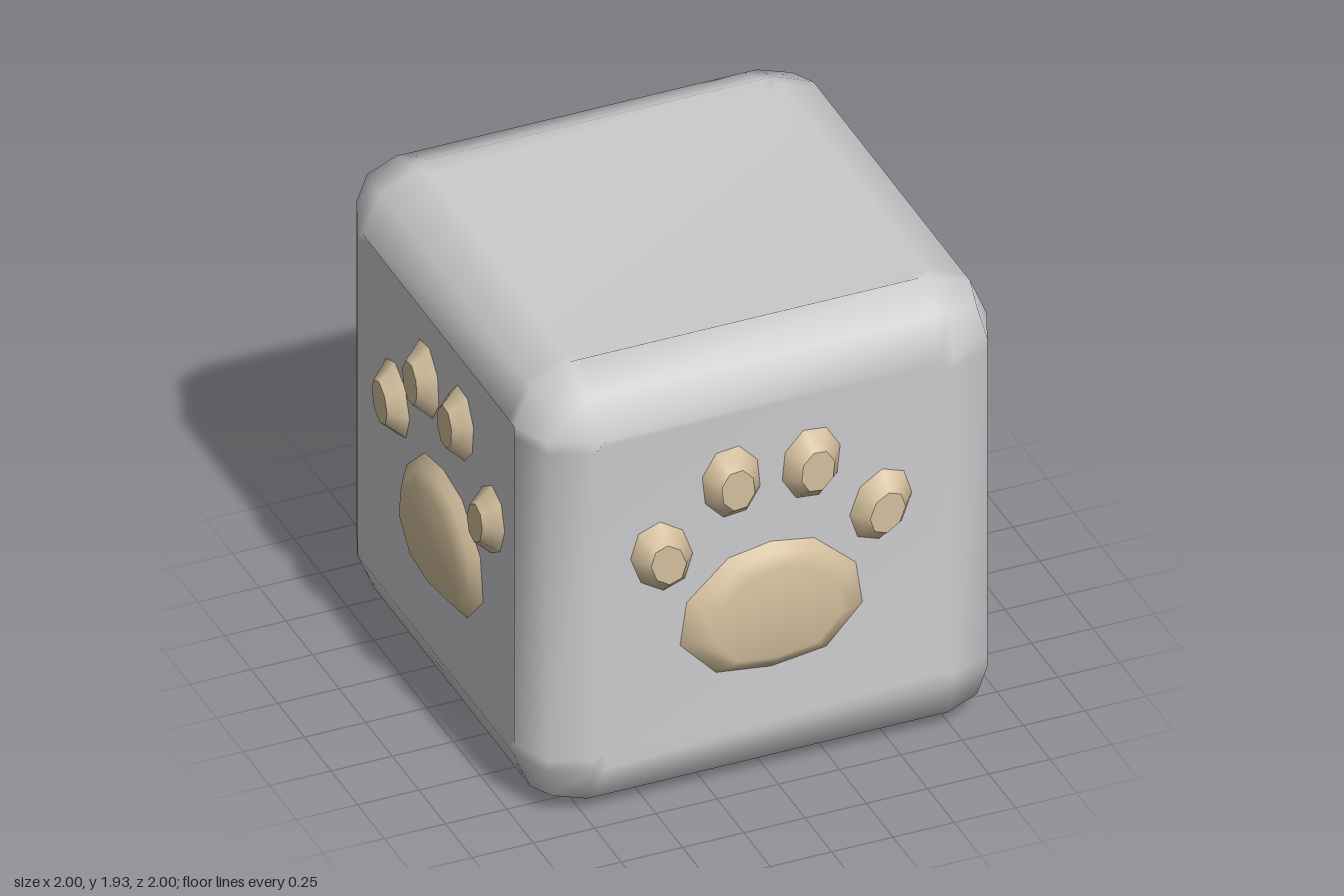
import * as THREE from 'three';
import { mergeVertices } from 'three/addons/utils/BufferGeometryUtils.js';

const HALF = 0.965, BEVEL = 0.23, FLOOR = 0.932;

// Rounded cube with a shallow sunken panel on every face
function blockGeometry() {
  let geo = new THREE.BoxGeometry(2, 2, 2, 5, 5, 5);
  geo.deleteAttribute('uv');
  geo.deleteAttribute('normal');
  geo = mergeVertices(geo, 1e-4);
  const pos = geo.attributes.position;
  for (let i = 0; i < pos.count; i++) {
    const c = [pos.getX(i), pos.getY(i), pos.getZ(i)];
    const dir = new THREE.Vector3(...c.map(v => (Math.abs(v) > 0.9 ? Math.sign(v) : 0))).normalize();
    const inPanel = c.filter(v => Math.abs(v) < 0.3).length === 2;
    const core = c.map(v => Math.sign(v) * (Math.abs(v) < 0.3 ? 0.685 : HALF - BEVEL));
    const p = new THREE.Vector3(...core).addScaledVector(dir, BEVEL - (inPanel ? HALF - FLOOR : 0));
    pos.setXYZ(i, p.x, p.y, p.z);
  }
  geo.computeVertexNormals();
  return geo;
}

// Raised pad: an outline lofted through shrinking rings to a flat top
function padGeometry(outline, rings, sharpTop) {
  const n = outline.length, verts = [], index = [];
  const addRing = ([z, s]) => outline.forEach(([x, y]) => verts.push(x * s, y * s, z));
  rings.forEach(addRing);
  for (let r = 0; r < rings.length - 1; r++) {
    for (let i = 0; i < n; i++) {
      const a = r * n + i, b = r * n + (i + 1) % n;
      index.push(a, b, b + n, a, b + n, a + n);
    }
  }
  const last = rings[rings.length - 1];
  let start = (rings.length - 1) * n;
  if (sharpTop) {
    start += n;
    addRing(last);
  }
  const centre = verts.length / 3;
  verts.push(0, 0, last[0]);
  for (let i = 0; i < n; i++) index.push(centre, start + i, start + (i + 1) % n);
  const geo = new THREE.BufferGeometry();
  geo.setAttribute('position', new THREE.Float32BufferAttribute(verts, 3));
  geo.setIndex(index);
  geo.computeVertexNormals();
  return geo;
}

export function createModel() {
  const grey = new THREE.MeshStandardMaterial({ color: 0xcbcacd });
  grey.name = 'light grey';
  const tan = new THREE.MeshStandardMaterial({ color: 0xd3bf9d });
  tan.name = 'tan';

  const model = new THREE.Group();
  model.name = 'pawBlock';
  const add = (parent, name, geo, mat) => {
    const mesh = new THREE.Mesh(geo, mat);
    mesh.name = name;
    parent.add(mesh);
    return mesh;
  };

  add(model, 'block', blockGeometry(), grey).position.y = HALF;

  // Main pad outline, right half mirrored, counter-clockwise from the bottom
  const right = [[0.225, -0.25], [0.372, -0.09], [0.345, 0.095], [0.175, 0.25]];
  const left = right.map(([x, y]) => [-x, y]).reverse();
  const mainGeo = padGeometry([[0, -0.28], ...right, [0, 0.28], ...left],
    [[0.92, 1.02], [FLOOR, 1], [HALF, 0.87], [1, 0.71]], false);

  // Toe: eight-sided oval
  const oval = Array.from({ length: 8 }, (_, i) => {
    const a = (i + 0.5) * Math.PI / 4;
    return [0.122 * Math.cos(a), 0.16 * Math.sin(a)];
  });
  const toeGeo = padGeometry(oval, [[0.92, 1.02], [FLOOR, 1], [HALF, 0.78], [1, 0.57]], true);

  // One paw on each of the four sides
  ['front', 'left', 'back', 'right'].forEach((side, k) => {
    const paw = new THREE.Group();
    paw.name = side + 'Paw';
    paw.rotation.y = k * Math.PI / 2;
    model.add(paw);
    add(paw, 'mainPad', mainGeo, tan).position.y = 0.77;
    for (const s of [-1, 1]) {
      const inner = add(paw, 'innerToe', toeGeo, tan);
      inner.position.set(s * 0.163, 1.36, 0);
      inner.rotation.z = -s * 0.1;
      const outer = add(paw, 'outerToe', toeGeo, tan);
      outer.position.set(s * 0.447, 1.1, 0);
      outer.rotation.z = -s * 0.35;
    }
  });
  return model;
}
